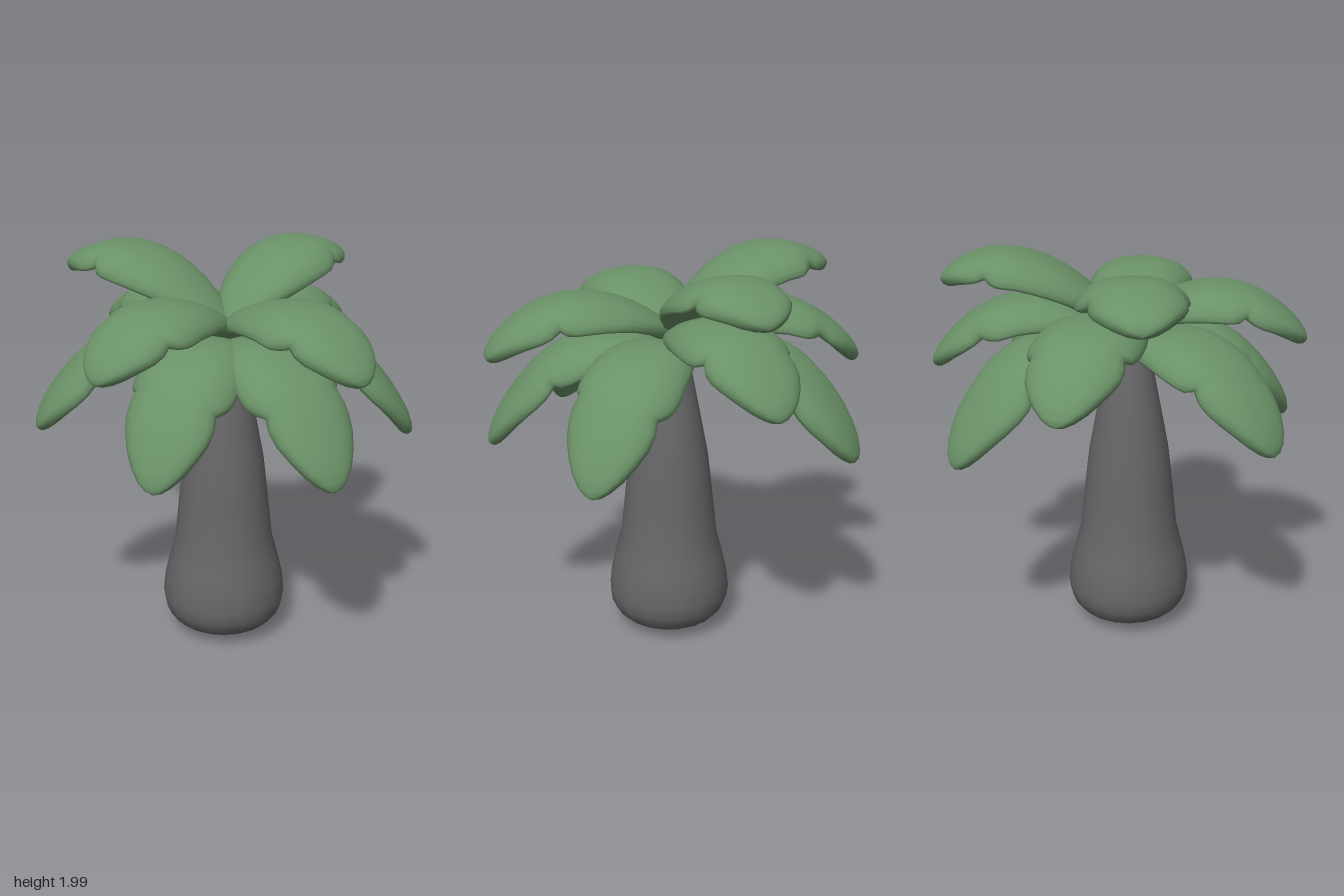
import * as THREE from 'three';

const green = new THREE.MeshStandardMaterial({ color: 0x6a9167 });
green.name = 'leafGreen';
const grey = new THREE.MeshStandardMaterial({ color: 0x666668 });
grey.name = 'trunkGrey';

// Leaf outline: position along the leaf, half width on either side (notched near the tip)
const OUTLINE = [
  [0, 0.03, 0.03], [0.04, 0.075, 0.075], [0.09, 0.125, 0.12], [0.15, 0.17, 0.165],
  [0.22, 0.208, 0.2], [0.3, 0.236, 0.228], [0.4, 0.255, 0.248], [0.5, 0.262, 0.256],
  [0.58, 0.258, 0.26], [0.63, 0.245, 0.257], [0.655, 0.213, 0.25], [0.685, 0.222, 0.238],
  [0.715, 0.229, 0.206], [0.77, 0.225, 0.214], [0.83, 0.203, 0.202], [0.89, 0.165, 0.167],
  [0.94, 0.122, 0.124], [0.975, 0.076, 0.076], [0.993, 0.038, 0.038], [1, 0.002, 0.002],
];
const AROUND = 24;

// Arched leaf with turned-down sides growing along +z: a rounded section swept along a quadratic arc
function leafGeometry(length, [startY, ctrlY, tipY], reach, flip) {
  const pos = [], index = [];
  const ctrlZ = reach * length;
  OUTLINE.forEach(([t, a, b], i) => {
    const y = (1 - t) ** 2 * startY + 2 * t * (1 - t) * ctrlY + t * t * tipY;
    const z = 2 * t * (1 - t) * ctrlZ + t * t * length;
    const dy = (1 - t) * (ctrlY - startY) + t * (tipY - ctrlY);
    const dz = (1 - t) * ctrlZ + t * (length - ctrlZ);
    const n = Math.hypot(dy, dz);
    const half = 0.051 * Math.sqrt(1 - t ** 24);
    for (let j = 0; j < AROUND; j++) {
      const ang = (j / AROUND) * Math.PI * 2;
      const c = Math.cos(ang), s = Math.sin(ang);
      const x = Math.sign(c) * Math.abs(c) ** 0.8 * ((c > 0) !== flip ? a : b);
      const off = half * Math.sign(s) * Math.abs(s) ** 0.7 - 0.5 * x * x - 10 * x ** 4;
      pos.push(x, y + (dz / n) * off, z - (dy / n) * off);
      if (i < OUTLINE.length - 1) {
        const p = i * AROUND + j, q = i * AROUND + (j + 1) % AROUND;
        index.push(p, q, q + AROUND, p, q + AROUND, p + AROUND);
      }
    }
  });
  const g = new THREE.BufferGeometry();
  g.setAttribute('position', new THREE.Float32BufferAttribute(pos, 3));
  g.setIndex(index);
  g.computeVertexNormals();
  return g;
}

const SEAM_Y = 1.45;

// Turned trunk section; the ring where grey meets the green top is slanted
function lathe(name, profile, material) {
  const g = new THREE.LatheGeometry(profile.map(([r, y]) => new THREE.Vector2(r, y)), 20);
  const p = g.attributes.position;
  for (let i = 0; i < p.count; i++) {
    if (Math.abs(p.getY(i) - SEAM_Y) < 0.001) p.setY(i, SEAM_Y - 0.5 * (p.getX(i) - p.getZ(i)));
  }
  const mesh = new THREE.Mesh(g, material);
  mesh.name = name;
  mesh.position.set(0.033, 0, 0.04);
  return mesh;
}

export function createModel() {
  const model = new THREE.Group();
  model.name = 'palmTree';

  // Bulbous trunk with green ends
  model.add(lathe('trunkBase', [[0, 0], [0.1, 0.01], [0.2, 0.035], [0.25, 0.065]], green));
  model.add(lathe('trunk', [
    [0.25, 0.065], [0.285, 0.1], [0.308, 0.15], [0.316, 0.21], [0.307, 0.3], [0.285, 0.4],
    [0.25, 0.53], [0.228, 0.74], [0.203, 0.96], [0.165, 1.16], [0.128, 1.35], [0.1, SEAM_Y],
  ], grey));
  model.add(lathe('trunkTop', [[0.1, SEAM_Y], [0.07, 1.55], [0.045, 1.58], [0, 1.6]], green));

  // Leaf tiers: start, arc control and tip heights, reach of the control, tips as [x, z]
  const crown = new THREE.Group();
  crown.name = 'crown';
  const tiers = [
    { name: 'upperLeaf', heights: [1.6, 2.145, 1.82], reach: 0.55, tips: [[-0.21, -0.84], [-0.85, 0.36]] },
    { name: 'middleLeaf', heights: [1.57, 2.025, 1.54], reach: 0.56, tips: [[0.23, 0.88], [0.94, -0.06]] },
    { name: 'sideLeaf', heights: [1.53, 1.965, 1.41], reach: 0.57, tips: [[-0.26, -0.88], [-0.94, 0]] },
    {
      name: 'lowerLeaf', heights: [1.48, 1.83, 1.07], reach: 0.6,
      tips: [[0.56, -0.74], [-0.74, -0.58], [0.47, 0.75], [0.93, 0.08]],
    },
    { name: 'frontLeaf', heights: [1.5, 1.84, 1.16], reach: 0.6, tips: [[-0.38, 0.86]] },
  ];
  for (const { name, heights, reach, tips } of tiers) {
    tips.forEach(([x, z], i) => {
      const geometry = leafGeometry(Math.hypot(x, z), heights, reach, i % 2 === 0);
      const leaf = new THREE.Mesh(geometry, green);
      leaf.name = name + (i + 1);
      leaf.rotation.y = Math.atan2(x, z);
      crown.add(leaf);
    });
  }
  model.add(crown);
  return model;
}
